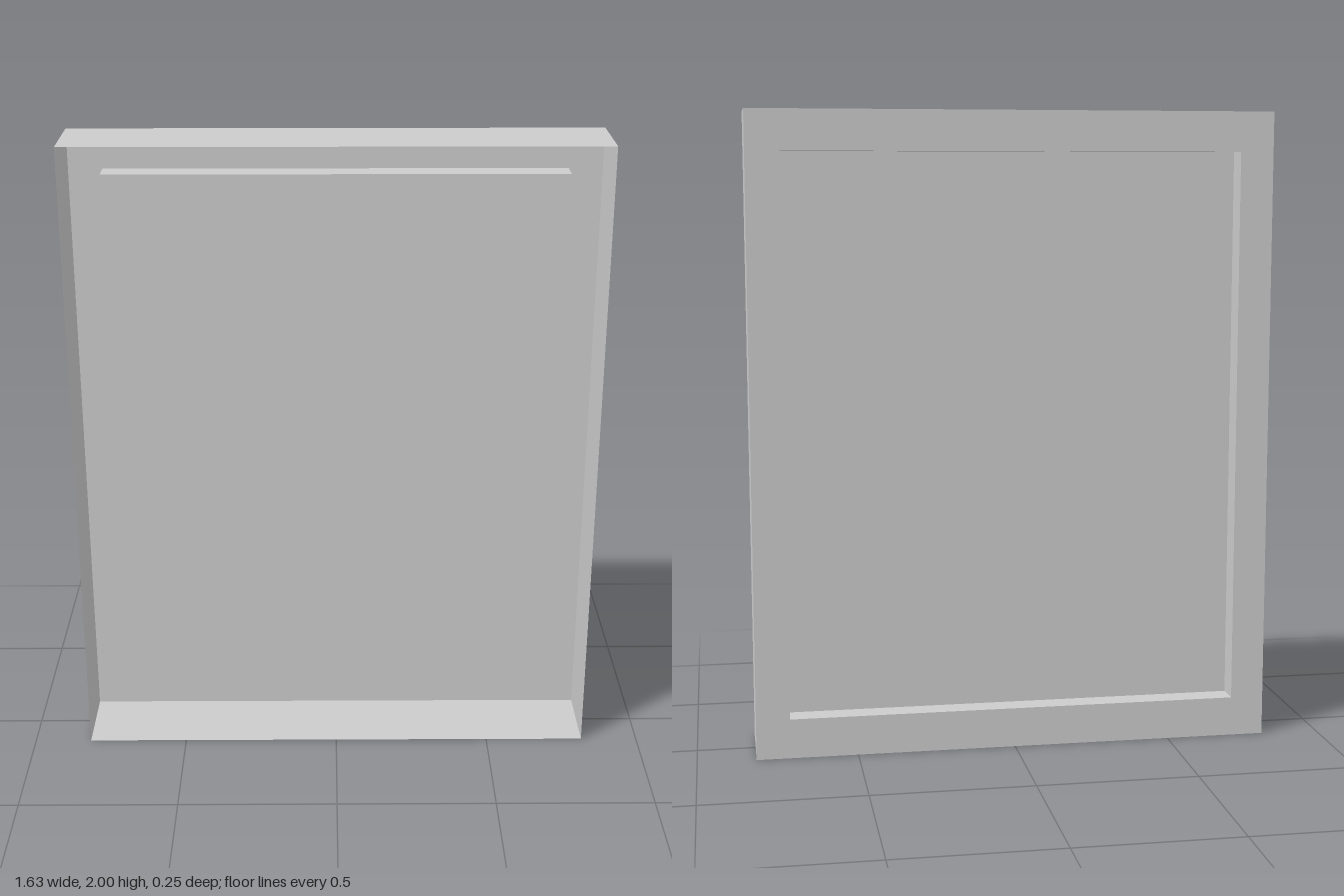
import * as THREE from 'three';

const W = 0.817, D = 0.125;          // outer half width, half depth
const PW = 0.712, PB = 0.125, PT = 1.876; // recessed panel half width, bottom, top
const PZ = -0.05;                    // panel depth

const material = new THREE.MeshStandardMaterial({
  color: 0xcccccc, flatShading: true, side: THREE.DoubleSide,
});

// Rectangular loop, counter-clockwise seen from the front
const loop = (w, y0, y1, z) => [[-w, y0, z], [w, y0, z], [w, y1, z], [-w, y1, z]];

// Four quads joining two rectangular loops
function band(name, a, b) {
  const points = [];
  for (let i = 0; i < 4; i++) {
    const j = (i + 1) % 4;
    points.push(...a[i], ...b[i], ...b[j], ...a[i], ...b[j], ...a[j]);
  }
  const geometry = new THREE.BufferGeometry();
  geometry.setAttribute('position', new THREE.Float32BufferAttribute(points, 3));
  geometry.computeVertexNormals();
  const mesh = new THREE.Mesh(geometry, material);
  mesh.name = name;
  return mesh;
}

export function createModel() {
  const group = new THREE.Group();
  group.name = 'panelFrame';

  const outerFront = loop(W, 0, 2, D);
  const outerBack = loop(W, 0, 2, -D);
  const recessBack = loop(PW, PB, PT, -D);
  const recessFront = loop(PW, PB, PT, PZ);

  // Thin shell, open at the front
  group.add(band('sideWalls', outerFront, outerBack));
  group.add(band('backRim', outerBack, recessBack));
  group.add(band('recessWalls', recessBack, recessFront));

  // Panel closing the recess, facing the back
  const panel = new THREE.Mesh(new THREE.PlaneGeometry(2 * PW, PT - PB), material);
  panel.name = 'recessedPanel';
  panel.rotation.y = Math.PI;
  panel.position.set(0, (PB + PT) / 2, PZ);
  group.add(panel);

  return group;
}
